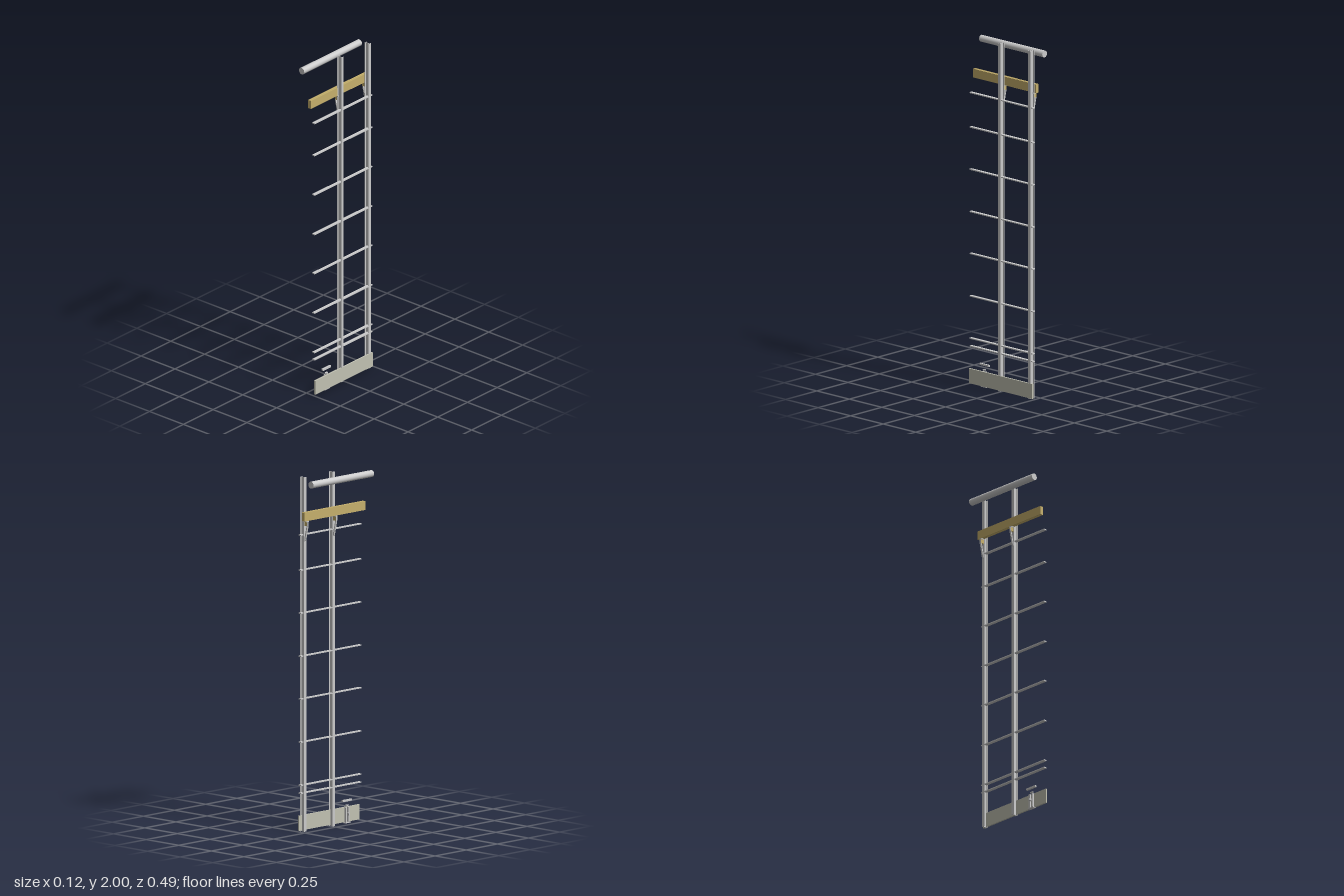
import * as THREE from 'three';

const grey = new THREE.MeshStandardMaterial({ color: 0xcccccc });
const wood = new THREE.MeshStandardMaterial({ color: 0xc6b06c });
const board = new THREE.MeshStandardMaterial({ color: 0xc1c1b2 });

const LENGTH = 0.486;            // common length along z
const POSTS_Z = [0.011, -0.219];

// Box given by its limits on each axis
function box(parent, name, [x0, x1], [y0, y1], [z0, z1], mat = grey) {
  const mesh = new THREE.Mesh(new THREE.BoxGeometry(x1 - x0, y1 - y0, z1 - z0), mat);
  mesh.position.set((x0 + x1) / 2, (y0 + y1) / 2, (z0 + z1) / 2);
  mesh.name = name;
  parent.add(mesh);
  return mesh;
}

// I-section upright: two flanges and a web, extruded upward
function post(z) {
  const d = 0.015, w = 0.0095, t = 0.003, web = 0.0012;
  const s = new THREE.Shape([
    [-d, -w], [-d + t, -w], [-d + t, -web], [d - t, -web], [d - t, -w], [d, -w],
    [d, w], [d - t, w], [d - t, web], [-d + t, web], [-d + t, w], [-d, w],
  ].map(([x, y]) => new THREE.Vector2(x, y)));
  const g = new THREE.ExtrudeGeometry(s, { depth: 2, bevelEnabled: false });
  g.rotateX(-Math.PI / 2);
  const mesh = new THREE.Mesh(g, grey);
  mesh.position.set(0.0415, 0, z);
  mesh.name = 'post';
  return mesh;
}

// Seat under the timber with a slanted strut back to the post
function bracket(z) {
  const g = new THREE.Group();
  g.name = 'beamBracket';
  box(g, 'bracketSeat', [0.006, 0.031], [1.75, 1.756], [z - 0.009, z + 0.009]);
  box(g, 'bracketBlock', [0.006, 0.028], [1.727, 1.75], [z - 0.006, z + 0.006], wood);
  const s = new THREE.Shape([[0.004, 1.75], [0.009, 1.75], [0.011, 1.727], [0.028, 1.655],
    [0.028, 1.638], [0.023, 1.643], [0.005, 1.727]].map(([x, y]) => new THREE.Vector2(x, y)));
  const strut = new THREE.Mesh(
    new THREE.ExtrudeGeometry(s, { depth: 0.01, bevelEnabled: false }), grey);
  strut.position.z = z - 0.005;
  strut.name = 'bracketStrut';
  g.add(strut);
  return g;
}

export function createModel() {
  const model = new THREE.Group();
  const span = [-LENGTH / 2, LENGTH / 2];

  // Uprights with their beam brackets
  for (const z of POSTS_Z) model.add(post(z), bracket(z));

  // Flat horizontal bars
  for (const y of [0.217, 0.262, 0.505, 0.749, 0.99, 1.233, 1.476, 1.674]) {
    box(model, 'crossBar', [0.037, 0.055], [y - 0.003, y + 0.003], span);
  }

  // Twin timber planks with a recessed joint
  const beam = new THREE.Group();
  beam.name = 'timberBeam';
  box(beam, 'plank', [0.007, 0.0165], [1.756, 1.806], span, wood);
  box(beam, 'plank', [0.0185, 0.027], [1.756, 1.806], span, wood);
  box(beam, 'plankJoint', [0.0165, 0.0185], [1.758, 1.803], span, wood);
  model.add(beam);

  // Round pipe near the top
  const pipe = new THREE.Mesh(new THREE.CylinderGeometry(0.0195, 0.0195, LENGTH, 24), grey);
  pipe.rotation.x = Math.PI / 2;
  pipe.position.set(-0.041, 1.968, 0);
  pipe.name = 'pipe';
  model.add(pipe);

  // Bottom board on the outer side
  box(model, 'baseBoard', [0.05, 0.0595], [0.005, 0.09], span, board);

  // Small clamp on the inner side of the board
  const clamp = new THREE.Group();
  clamp.name = 'boardClamp';
  for (const z of [0.125, 0.147]) {
    box(clamp, 'clampLeg', [0.04, 0.05], [0.003, 0.09], [z - 0.004, z + 0.004]);
  }
  box(clamp, 'clampFoot', [0.036, 0.056], [0, 0.005], [0.114, 0.158]);
  box(clamp, 'clampPin', [0.026, 0.042], [0.045, 0.057], [0.13, 0.142]);
  box(clamp, 'clampCap', [0.042, 0.052], [0.096, 0.102], [0.127, 0.147]);
  box(clamp, 'clampHandle', [0.04, 0.052], [0.122, 0.132], [0.1, 0.17]);
  model.add(clamp);

  return model;
}
